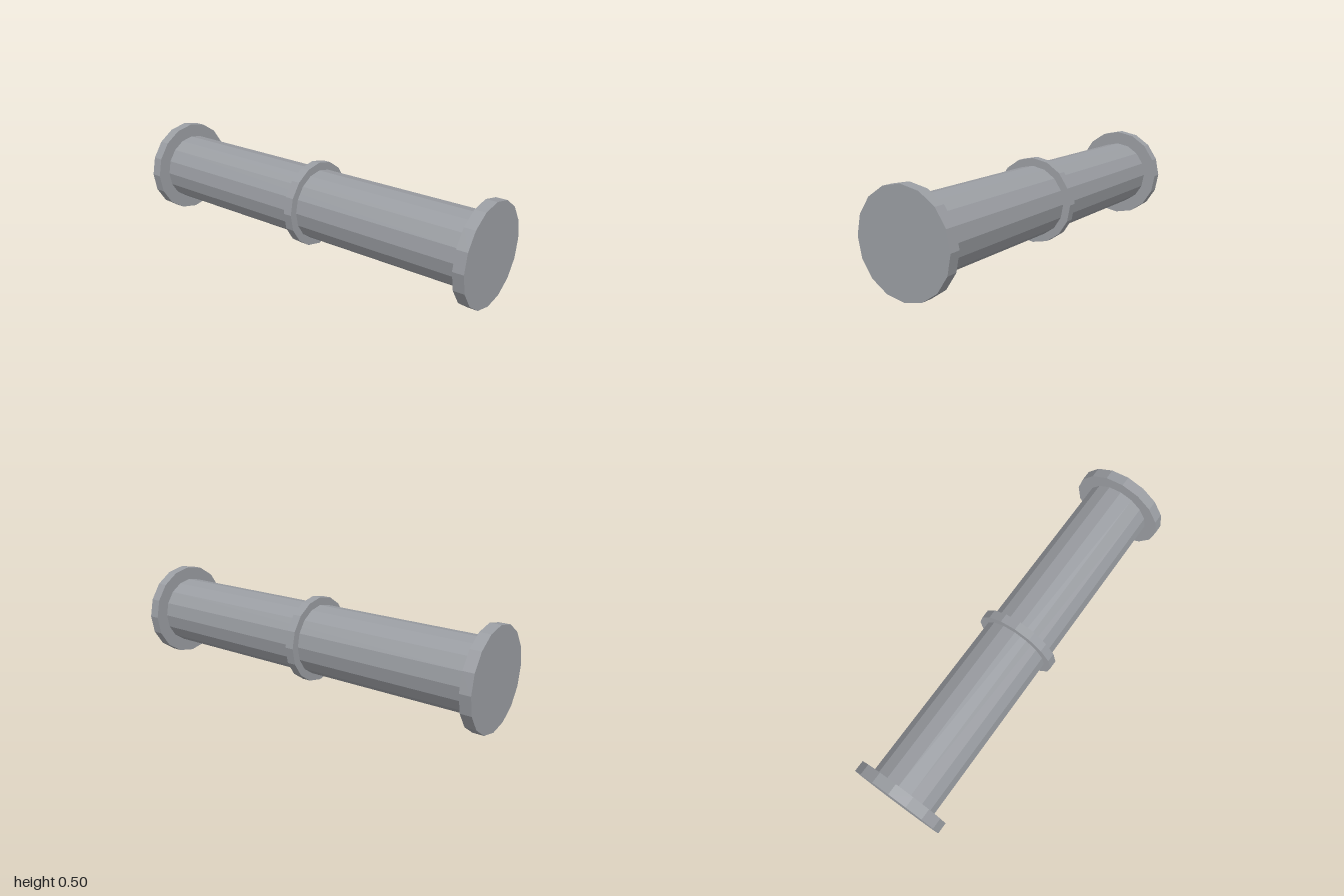
import * as THREE from 'three';

export function createModel() {
  const group = new THREE.Group();
  const steel = new THREE.MeshStandardMaterial({ color: 0x9a9da2, flatShading: true });
  steel.name = 'steel grey';

  // 16-sided disc or tube lying along x, centred on the pipe axis
  const addRound = (name, radius, length, x) => {
    const geometry = new THREE.CylinderGeometry(radius, radius, length, 16);
    geometry.rotateZ(Math.PI / 2);
    const mesh = new THREE.Mesh(geometry, steel);
    mesh.name = name;
    mesh.position.set(x, 0.25, 0);
    group.add(mesh);
  };

  // main pipe
  addRound('pipe', 0.18, 1.9, 0);
  // raised ring at the middle
  addRound('middleRing', 0.22, 0.046, 0);
  // end flanges
  addRound('leftFlange', 0.25, 0.056, 0.972);
  addRound('rightFlange', 0.25, 0.056, -0.972);

  return group;
}
